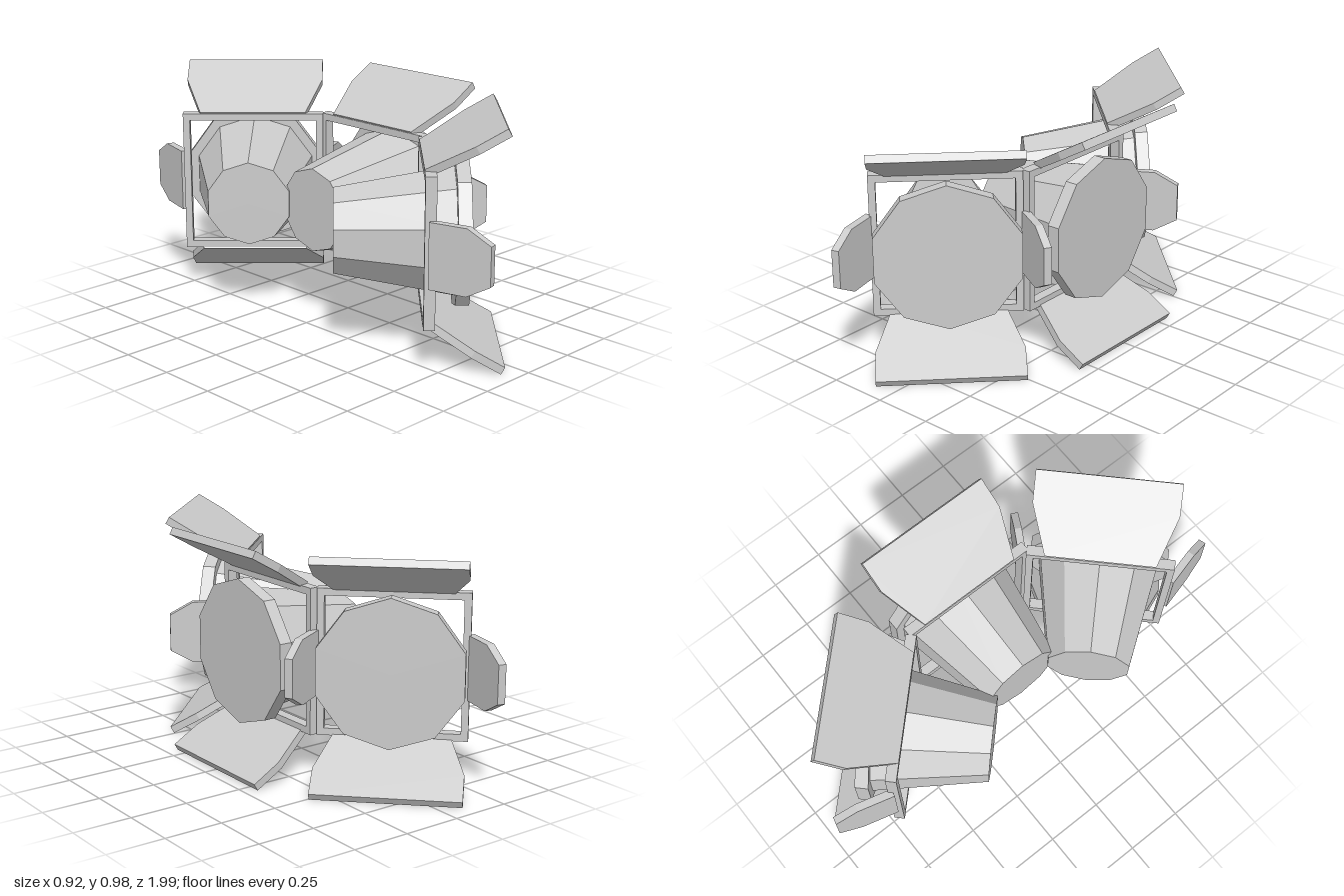
import * as THREE from 'three';

const MID_Y = 0.4925; // height of every lamp axis
const SPREAD = Math.PI / 6; // opening angle of the doors
const mat = new THREE.MeshStandardMaterial({ color: 0xcccccc, flatShading: true });

function addMesh(parent, geometry, name) {
  const mesh = new THREE.Mesh(geometry, mat);
  mesh.name = name;
  parent.add(mesh);
  return mesh;
}

// Ten-sided drum lying along local +x, with a corner pointing up
function drum(rBack, rFront, x0, x1) {
  return new THREE.CylinderGeometry(rFront, rBack, x1 - x0, 10, 1, false, Math.PI / 2)
    .rotateZ(-Math.PI / 2)
    .translate((x0 + x1) / 2, 0, 0);
}

// Square ring in the local yz plane
function frameGeometry() {
  const square = (Type, h) =>
    new Type([[-h, -h], [h, -h], [h, h], [-h, h]].map(([x, y]) => new THREE.Vector2(x, y)));
  const shape = square(THREE.Shape, 0.309);
  shape.holes.push(square(THREE.Path, 0.279));
  return new THREE.ExtrudeGeometry(shape, { depth: 0.045, bevelEnabled: false })
    .translate(0, 0, -0.0225)
    .rotateY(Math.PI / 2);
}

// Flat door; outline gives [distance from hinge, half width]
function doorGeometry(outline) {
  const pts = [
    ...outline.map(([s, w]) => new THREE.Vector2(s, -w)),
    ...[...outline].reverse().map(([s, w]) => new THREE.Vector2(s, w)),
  ];
  return new THREE.ExtrudeGeometry(new THREE.Shape(pts), { depth: 0.033, bevelEnabled: false });
}

const wideDoor = doorGeometry([[0, 0.232], [0.215, 0.304], [0.352, 0.304]]);
const narrowDoor = doorGeometry([[0, 0.135], [0.16, 0.135], [0.26, 0.08]]);

// Hinge a door on the frame side lying towards "out", tilted outwards
function addDoor(parent, geometry, name, out, hinge, x) {
  const c = Math.cos(SPREAD), s = Math.sin(SPREAD);
  const forward = new THREE.Vector3(1, 0, 0);
  const along = forward.clone().multiplyScalar(c).addScaledVector(out, s);
  const inward = forward.clone().multiplyScalar(s).addScaledVector(out, -c);
  const across = inward.clone().cross(along);
  const mesh = addMesh(parent, geometry, name);
  mesh.quaternion.setFromRotationMatrix(new THREE.Matrix4().makeBasis(along, across, inward));
  mesh.position.copy(out).multiplyScalar(hinge).setX(x);
}

// One lamp facing local +x, origin at the centre of its frame
function createLamp(name, sideDoors) {
  const lamp = new THREE.Group();
  lamp.name = name;
  addMesh(lamp, drum(0.18, 0.27, -0.372, 0.11), 'housing');
  addMesh(lamp, drum(0.311, 0.311, 0.107, 0.1625), 'lensRim');
  addMesh(lamp, frameGeometry(), 'frame');
  for (const d of [1, -1]) {
    addDoor(lamp, wideDoor, d > 0 ? 'topDoor' : 'bottomDoor', new THREE.Vector3(0, d, 0), 0.316, -0.0225);
  }
  for (const d of sideDoors) {
    addDoor(lamp, narrowDoor, 'sideDoor', new THREE.Vector3(0, 0, d), 0.322, -0.008);
  }
  return lamp;
}

export function createModel() {
  const model = new THREE.Group();
  model.name = 'lampCluster';

  const middle = createLamp('middleLamp', [1, -1]);
  middle.position.set(0.1625, MID_Y, 0);
  model.add(middle);

  // Outer lamps turned 45 degrees away, sharing the middle lamp's side doors
  for (const d of [1, -1]) {
    const lamp = createLamp(d > 0 ? 'frontLamp' : 'backLamp', [d]);
    lamp.position.set(-0.075, MID_Y, 0.52 * d);
    lamp.rotation.y = (-d * Math.PI) / 4;
    model.add(lamp);
  }
  return model;
}
